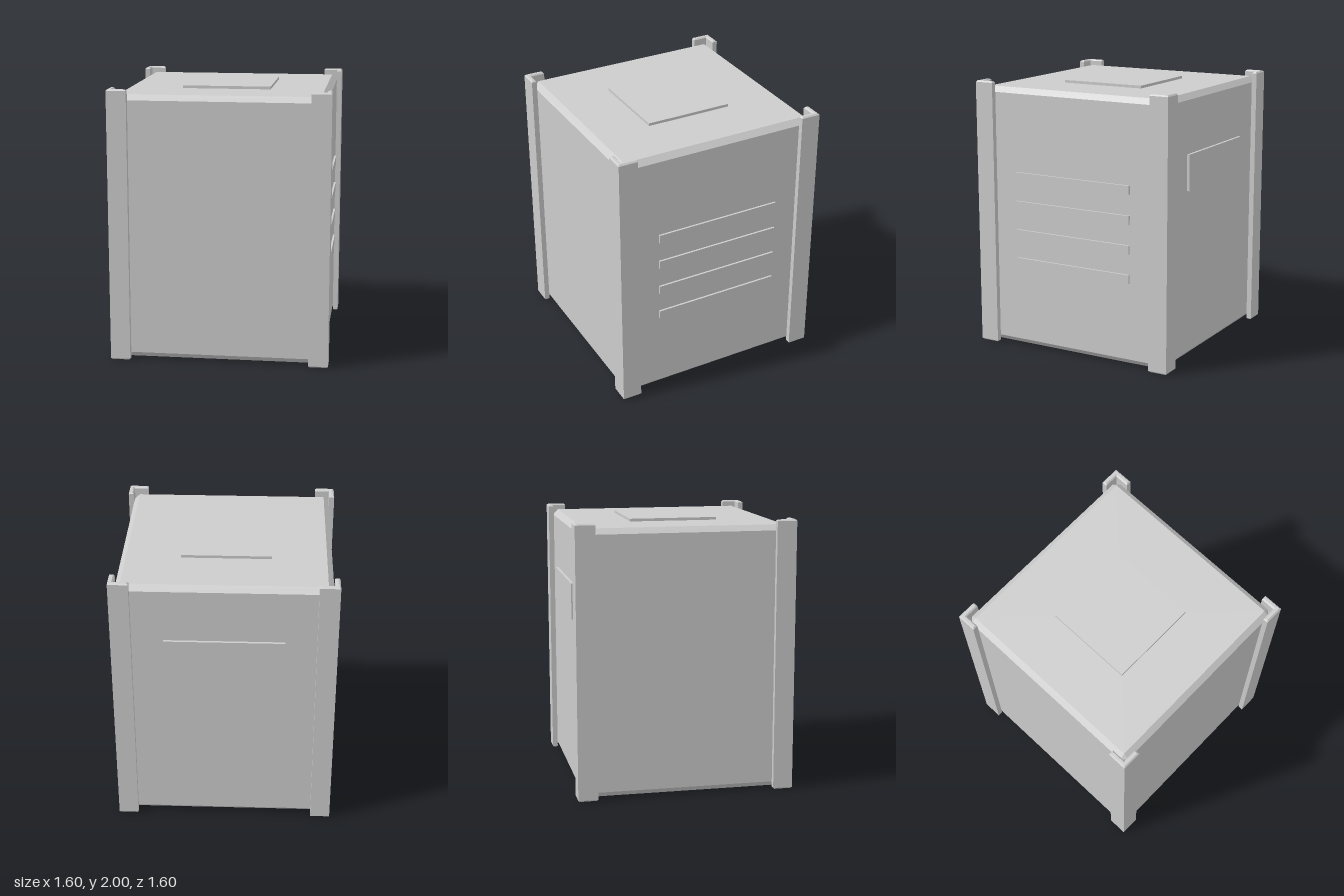
import * as THREE from 'three';

const grey = new THREE.MeshStandardMaterial({ color: 0xcccccc, side: THREE.DoubleSide, flatShading: true });
grey.name = 'plain grey';

// Chamfered shell, open at the bottom, lofted through eight-cornered rings
function shellGeometry() {
  const ring = (y, a, b) => [[a, b], [b, a], [-b, a], [-a, b], [-a, -b], [-b, -a], [b, -a], [a, -b]]
    .map(([x, z]) => new THREE.Vector3(x, y, z));
  const rings = [
    ring(0.01, 0.72, 0.72),
    ring(0.05, 0.76, 0.72),
    ring(1.92, 0.76, 0.72),
    ring(1.96, 0.72, 0.72),
    ring(1.96, 0, 0),
  ];
  const points = [];
  const triangle = (a, b, c) => {
    if (new THREE.Triangle(a, b, c).getArea() > 1e-7) points.push(a, b, c);
  };
  for (let r = 0; r < rings.length - 1; r++) {
    for (let i = 0; i < 8; i++) {
      const j = (i + 1) % 8;
      const low = rings[r], high = rings[r + 1];
      triangle(low[i], high[i], low[j]);
      triangle(low[j], high[i], high[j]);
    }
  }
  const geometry = new THREE.BufferGeometry().setFromPoints(points);
  geometry.computeVertexNormals();
  return geometry;
}

// L-shaped corner post with bevelled ends
function postGeometry() {
  const outer = 0.8, inner = 0.761, end = 0.655, bevel = 0.01;
  const shape = new THREE.Shape([
    [outer, outer], [end, outer], [end, inner], [inner, inner], [inner, end], [outer, end],
  ].map(([x, y]) => new THREE.Vector2(x, y)));
  const geometry = new THREE.ExtrudeGeometry(shape, {
    depth: 2 - 2 * bevel, bevelEnabled: true, bevelThickness: bevel,
    bevelSize: bevel, bevelOffset: -bevel, bevelSegments: 1,
  });
  return geometry.translate(0, 0, bevel).rotateX(-Math.PI / 2);
}

export function createModel() {
  const model = new THREE.Group();
  model.name = 'crate';
  const add = (name, geometry, x = 0, y = 0, z = 0) => {
    const mesh = new THREE.Mesh(geometry, grey);
    mesh.name = name;
    mesh.position.set(x, y, z);
    model.add(mesh);
    return mesh;
  };

  add('body', shellGeometry());

  // Four corner posts
  const post = postGeometry();
  for (let i = 0; i < 4; i++) add('cornerPost', post).rotation.y = i * Math.PI / 2;

  // Raised plates on the top and back
  add('topPlate', new THREE.BoxGeometry(0.65, 0.03, 0.65), 0, 1.965, 0);
  add('backPlate', new THREE.BoxGeometry(0.86, 0.265, 0.03), 0, 1.4, -0.765);

  // Four horizontal slats on the +x side
  const slat = new THREE.BoxGeometry(0.03, 0.065, 0.96);
  for (let i = 0; i < 4; i++) add('sideSlat', slat, 0.76, 0.655 + i * 0.217, 0);

  return model;
}
